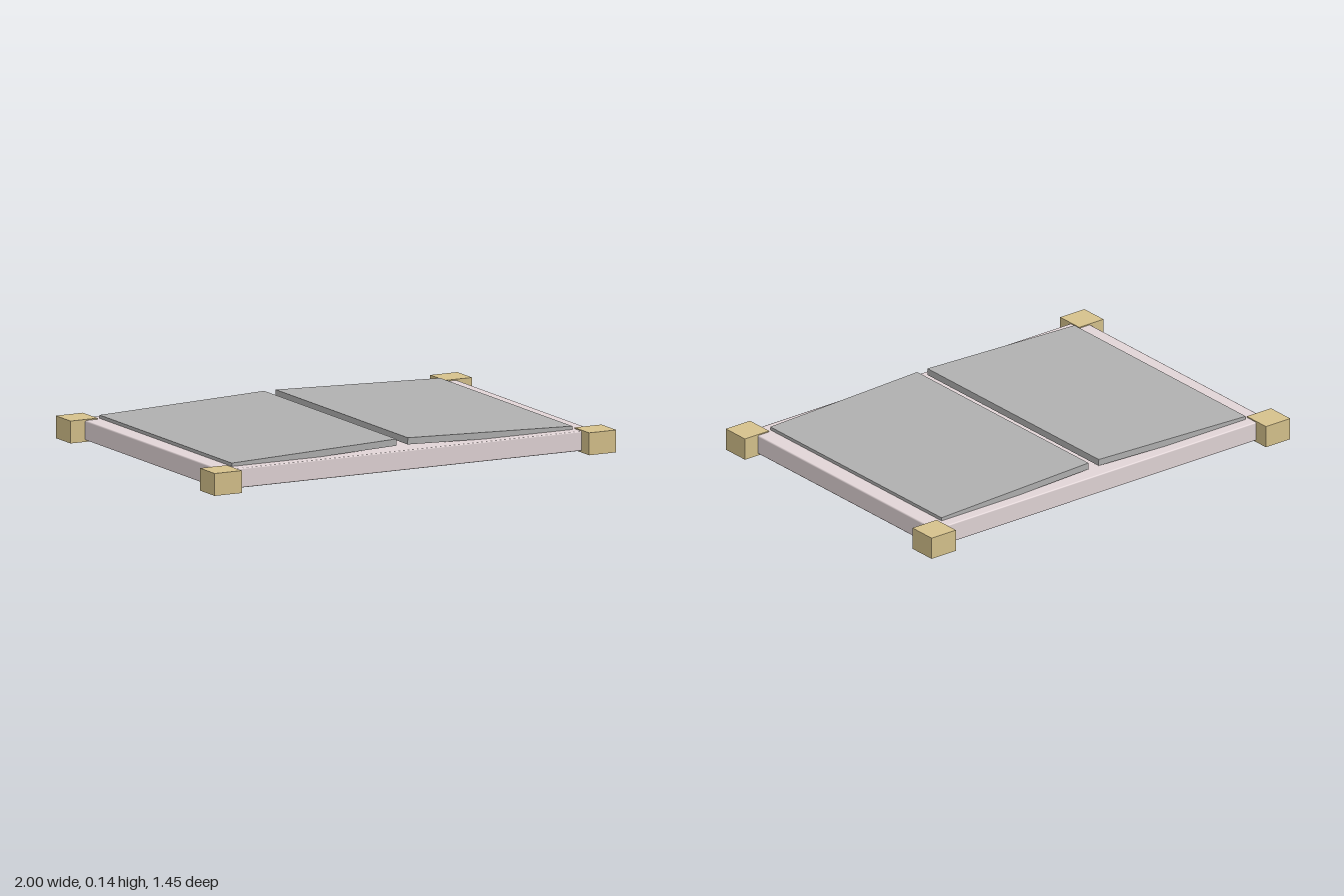
import * as THREE from 'three';
import { RoundedBoxGeometry } from 'three/addons/geometries/RoundedBoxGeometry.js';

export function createModel() {
  const model = new THREE.Group();
  model.name = 'panelledPlatform';
  const frameMaterial = new THREE.MeshStandardMaterial({ color: 0xe2d5d7 });
  const blockMaterial = new THREE.MeshStandardMaterial({ color: 0xd6c28c });
  const panelMaterial = new THREE.MeshStandardMaterial({ color: 0xb0b0b0 });

  const add = (name, geometry, material, x, y, z) => {
    const mesh = new THREE.Mesh(geometry, material);
    mesh.name = name;
    mesh.position.set(x, y, z);
    model.add(mesh);
    return mesh;
  };

  // Softly bevelled base slab
  add('baseSlab', new RoundedBoxGeometry(1.855, 0.088, 1.31, 1, 0.006), frameMaterial, 0, 0.051, 0);

  const blockGeometry = new THREE.BoxGeometry(0.135, 0.1, 0.135);
  const panelGeometry = new THREE.BoxGeometry(0.82, 0.03, 1.205);
  for (const side of [-1, 1]) {
    const prefix = side > 0 ? 'left' : 'right';

    // Corner blocks
    for (const end of [-1, 1]) {
      add(prefix + (end > 0 ? 'Front' : 'Back') + 'Block', blockGeometry, blockMaterial,
        side * 0.9325, 0.05, end * 0.657);
    }

    // Top panels, rising gently toward the middle
    const panel = add(prefix + 'Panel', panelGeometry, panelMaterial, side * 0.438, 0.109, 0);
    panel.rotation.z = -side * 0.034;
  }
  return model;
}
